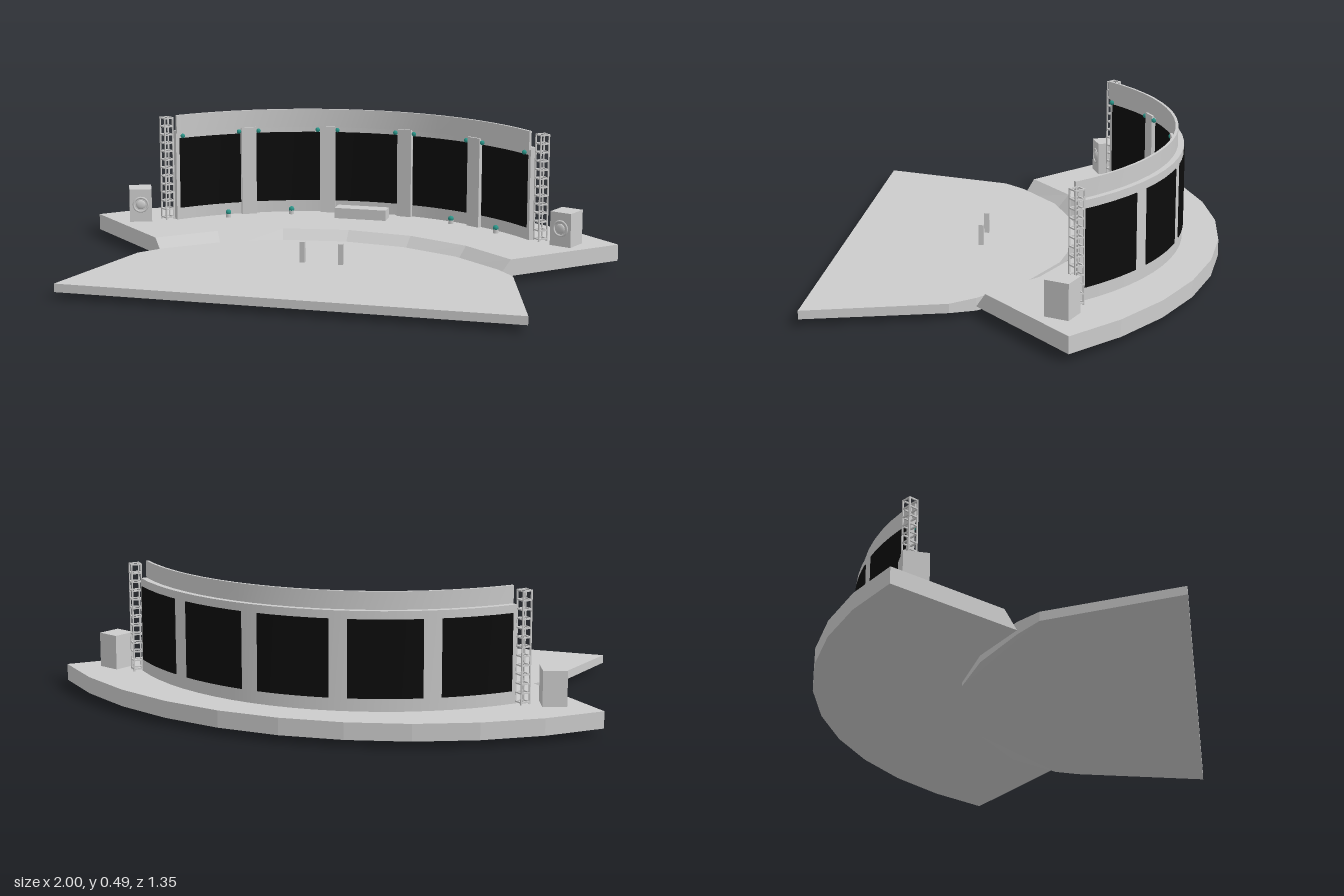
import * as THREE from 'three';
import { toCreasedNormals } from 'three/addons/utils/BufferGeometryUtils.js';

const grey = new THREE.MeshStandardMaterial({ color: 0xcccccc });
const black = new THREE.MeshStandardMaterial({ color: 0x0c0c0c });
const teal = new THREE.MeshStandardMaterial({ color: 0x2a9488 });
const rad = THREE.MathUtils.degToRad;
const WALL_Z = 0.405; // centre of the curved wall

// Plan points [x, z] on an arc bulging towards -z; angles in degrees from the -z axis
function arc(r, cz, a0, a1, n) {
  return Array.from({ length: n + 1 }, (_, i) => {
    const a = rad(a0 + ((a1 - a0) * i) / n);
    return [r * Math.sin(a), cz - r * Math.cos(a)];
  });
}

// Solid between two matching outlines of [x, y, z], counter-clockwise seen from above
function loft(bottom, top) {
  const pos = [];
  const cap = (pts, up) => {
    const flat = pts.map(p => new THREE.Vector2(p[0], -p[2]));
    for (const [a, b, c] of THREE.ShapeUtils.triangulateShape(flat, [])) {
      const ab = flat[b].clone().sub(flat[a]);
      const ac = flat[c].clone().sub(flat[a]);
      const order = ab.cross(ac) > 0 === up ? [a, b, c] : [a, c, b];
      order.forEach(i => pos.push(...pts[i]));
    }
  };
  cap(top, true);
  cap(bottom, false);
  bottom.forEach((p, i) => {
    const j = (i + 1) % bottom.length;
    pos.push(...p, ...bottom[j], ...top[j], ...p, ...top[j], ...top[i]);
  });
  const geo = new THREE.BufferGeometry();
  geo.setAttribute('position', new THREE.Float32BufferAttribute(pos, 3));
  geo.computeVertexNormals();
  return geo;
}

const atY = (pts, y) => pts.map(([x, z]) => [x, y, z]);

// Curved slab between radii r0 < r1 around the wall centre
function curvedSlab(r0, r1, a0, a1, y0, y1, n) {
  const plan = [...arc(r0, WALL_Z, a0, a1, n), ...arc(r1, WALL_Z, a1, a0, n)];
  return toCreasedNormals(loft(atY(plan, y0), atY(plan, y1)), 0.5);
}

export function createModel() {
  const model = new THREE.Group();
  const add = (name, geo, mat = grey, x = 0, y = 0, z = 0, parent = model) => {
    const mesh = new THREE.Mesh(geo, mat);
    mesh.name = name;
    mesh.position.set(x, y, z);
    parent.add(mesh);
    return mesh;
  };

  // Crescent stage with a sloping front edge
  const rear = arc(1.367, 0.692, 47, -47, 10);
  const topEdge = arc(0.886, 0.666, -48, 48, 6);
  const footEdge = arc(0.847, 0.687, -47, 47, 6);
  add('stage', loft(atY([...footEdge, ...rear], 0.025), atY([...topEdge, ...rear], 0.085)));

  // Audience floor, its underside dipping along the curved edge
  const front = [[-0.685, 0.19], [-0.81, 0.67], [0.81, 0.67], [0.685, 0.19]];
  const floorPlan = [...front, ...[...footEdge].reverse()];
  const dip = [0.022, 0.025, 0.025, 0.022, 0.01, 0, 0.012, 0.018, 0.012, 0, 0.01];
  add('floor', loft(floorPlan.map(([x, z], i) => [x, dip[i], z]), atY(floorPlan, 0.055)));

  // Curved back wall and the set-forward rim above it
  add('backWall', curvedSlab(0.925, 0.948, -47, 47, 0.085, 0.428, 20));
  add('wallRim', curvedSlab(0.917, 0.927, -47, 47, 0.42, 0.49, 20));

  // Five screens, visible from both sides, with a lamp at each upper corner
  for (let i = -2; i <= 2; i++) {
    const mid = i * 19.2;
    add('screen', curvedSlab(0.922, 0.951, mid - 7.7, mid + 7.7, 0.13, 0.4, 6), black);
    for (const side of [-1, 1]) {
      const a = rad(mid + side * 7.2);
      const x = 0.912 * Math.sin(a);
      const z = WALL_Z - 0.912 * Math.cos(a);
      add('screenLamp', new THREE.SphereGeometry(0.009, 8, 6), teal, x, 0.41, z);
    }
  }

  // Pillars between the screens
  for (const a of [-28.8, -9.6, 9.6, 28.8]) {
    add('pillar', curvedSlab(0.908, 0.926, a - 1.8, a + 1.8, 0.085, 0.425, 1));
  }

  for (const s of [-1, 1]) {
    // Lattice tower: four posts tied by square frames
    const tower = new THREE.Group();
    tower.name = 'latticeTower';
    tower.position.set(s * 0.717, 0.085, -0.235);
    tower.rotation.y = s * rad(40);
    model.add(tower);
    const h = 0.017;
    for (const x of [-h, h]) {
      for (const z of [-h, h]) {
        add('towerPost', new THREE.BoxGeometry(0.005, 0.395, 0.005), grey, x, 0.1975, z, tower);
      }
    }
    for (let k = 0; k <= 12; k++) {
      const y = 0.008 + k * 0.032;
      for (const d of [-h, h]) {
        add('towerRung', new THREE.BoxGeometry(2 * h, 0.005, 0.005), grey, 0, y, d, tower);
        add('towerRung', new THREE.BoxGeometry(0.005, 0.005, 2 * h), grey, d, y, 0, tower);
      }
    }

    // Loudspeaker turned towards the audience
    const speaker = new THREE.Group();
    speaker.name = 'loudspeaker';
    speaker.position.set(s * 0.815, 0.085, -0.2);
    speaker.rotation.y = -s * rad(21);
    model.add(speaker);
    add('speakerCabinet', new THREE.BoxGeometry(0.084, 0.125, 0.088), grey, 0, 0.0625, 0, speaker);
    add('speakerRing', new THREE.TorusGeometry(0.027, 0.004, 8, 24), grey, 0, 0.066, 0.044, speaker);
    const dome = add('speakerDome', new THREE.SphereGeometry(0.018, 16, 8), grey, 0, 0.066, 0.044, speaker);
    dome.scale.z = 0.35;

    // Posts on the floor
    add('floorPost', new THREE.BoxGeometry(0.018, 0.075, 0.018), grey, s * 0.07, 0.0925, 0.175);
  }

  // Low table at the middle of the stage
  add('table', new THREE.BoxGeometry(0.2, 0.04, 0.06), grey, 0, 0.105, -0.43);

  // Stage floor lamps
  for (const [x, z] of [[-0.5, -0.315], [-0.28, -0.43], [0.35, -0.42], [0.54, -0.31]]) {
    add('lampBase', new THREE.CylinderGeometry(0.01, 0.01, 0.014, 10), grey, x, 0.092, z);
    add('lampHead', new THREE.SphereGeometry(0.011, 10, 8), teal, x, 0.104, z);
  }

  return model;
}
